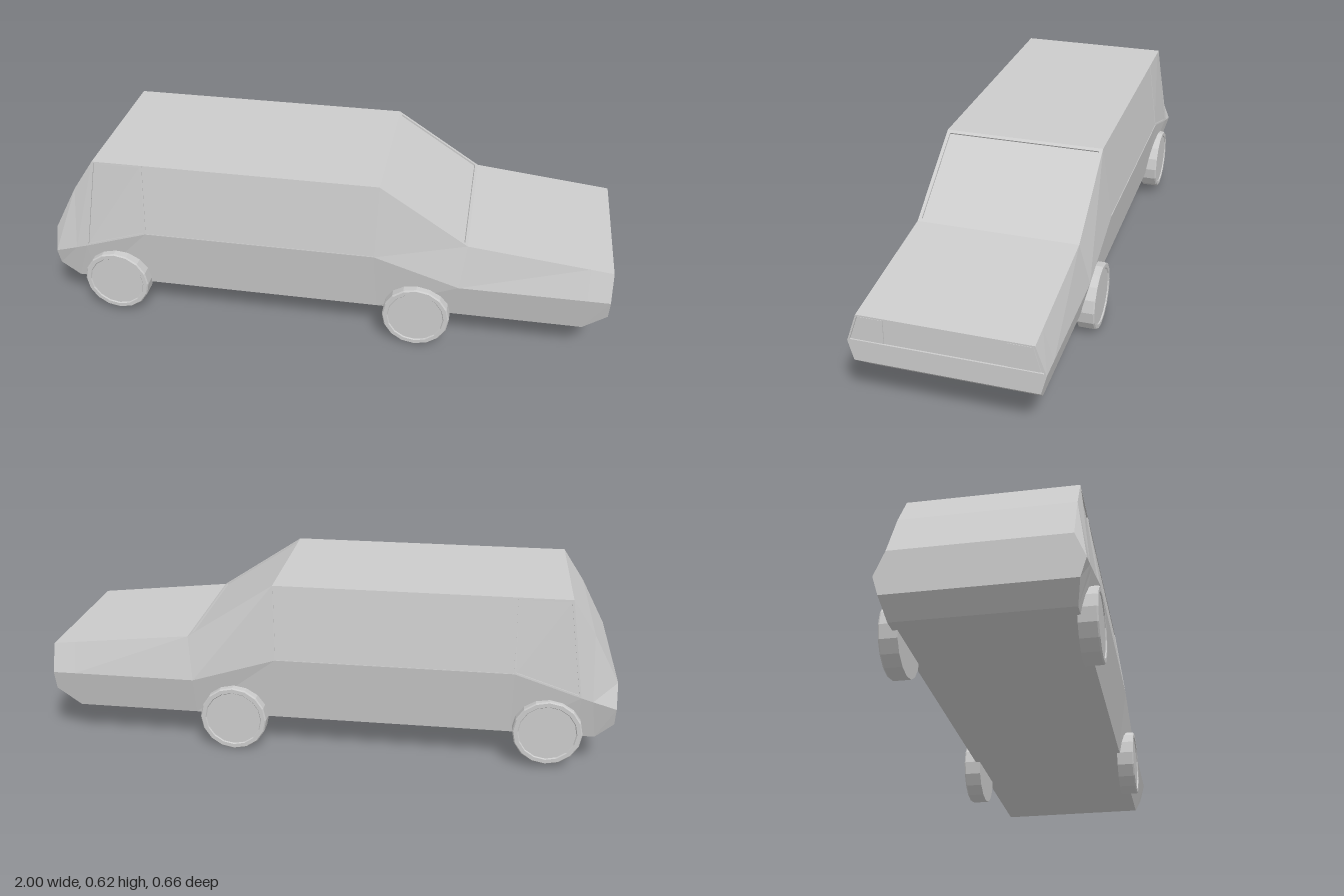
import * as THREE from 'three';

const material = new THREE.MeshStandardMaterial({ color: 0xcccccc, flatShading: true });
const V = (x, y, z) => new THREE.Vector3(x, y, z);

// Collects four-cornered faces (anticlockwise from outside) into one flat-shaded mesh
class Faces {
  positions = [];
  quad(a, b, c, d) {
    for (const p of [a, b, c, a, c, d]) this.positions.push(p.x, p.y, p.z);
  }
  mesh(name) {
    const geometry = new THREE.BufferGeometry();
    geometry.setAttribute('position', new THREE.Float32BufferAttribute(this.positions, 3));
    geometry.computeVertexNormals();
    const mesh = new THREE.Mesh(geometry, material);
    mesh.name = name;
    return mesh;
  }
}

// Splits a face into a border, a shallow step and a sunken pane
function insetPanel(border, pane, corners, margin, depth) {
  const [a, b, , d] = corners;
  const inward = b.clone().sub(a).cross(d.clone().sub(a)).normalize().multiplyScalar(-depth);
  const rim = corners.map((p, i) => {
    const q = p.clone();
    for (const step of [1, 3]) {
      q.addScaledVector(corners[(i + step) % 4].clone().sub(p).normalize(), margin);
    }
    return q;
  });
  const sunk = rim.map((p) => p.clone().add(inward));
  for (let i = 0; i < 4; i++) {
    const j = (i + 1) % 4;
    border.quad(corners[i], corners[j], rim[j], rim[i]);
    border.quad(rim[i], rim[j], sunk[j], sunk[i]);
  }
  pane.quad(...sunk);
}

// Body sections from tail to nose: [x, y, half width] of the sill, the belt line and the top
const sections = [
  [[-1, 0.18, 0.298], [-1, 0.245, 0.318], [-1, 0.33, 0.283]],
  [[-0.94, 0.12, 0.283], [-0.92, 0.268, 0.318], [-0.91, 0.5, 0.283]],
  [[-0.87, 0.12, 0.283], [-0.88, 0.28, 0.318], [-0.83, 0.62, 0.283]],
  [[-0.65, 0.12, 0.283], [-0.65, 0.355, 0.318], [-0.65, 0.62, 0.283]],
  [[0.19, 0.12, 0.283], [0.18, 0.355, 0.318], [0.19, 0.62, 0.283]],
  [[0.48, 0.12, 0.283], [0.48, 0.26, 0.318], [0.5, 0.415, 0.283]],
  [[0.92, 0.12, 0.283], [0.92, 0.26, 0.318], [0.92, 0.369, 0.283]],
  [[1, 0.19, 0.3], [1, 0.26, 0.318], [1, 0.36, 0.283]],
];
const point = (s, row, side) => {
  const [x, y, z] = sections[s][row];
  return V(x, y, side * z);
};

function createBody() {
  const group = new THREE.Group();
  group.name = 'body';
  const shell = new Faces(), windscreen = new Faces(), sideWindows = new Faces();
  const quarterWindows = new Faces(), grille = new Faces();

  for (let s = 0; s < sections.length - 1; s++) {
    // Flanks, with the long side window and the rear quarter window let in
    for (const side of [1, -1]) {
      for (let row = 0; row < 2; row++) {
        const c = [point(s, row, side), point(s + 1, row, side),
          point(s + 1, row + 1, side), point(s, row + 1, side)];
        if (side < 0) c.reverse();
        if (row === 1 && s === 2) insetPanel(shell, quarterWindows, c, 0.007, 0.005);
        else if (row === 1 && s === 3) insetPanel(shell, sideWindows, c, 0.002, 0.002);
        else shell.quad(...c);
      }
    }
    // Roof, windscreen, bonnet and tailgate
    const upper = [point(s, 2, 1), point(s + 1, 2, 1), point(s + 1, 2, -1), point(s, 2, -1)];
    if (s === 4) insetPanel(shell, windscreen, upper, 0.012, 0.006);
    else shell.quad(...upper);
    // Underside
    shell.quad(point(s, 0, -1), point(s + 1, 0, -1), point(s + 1, 0, 1), point(s, 0, 1));
  }

  // Tail and nose ends
  const nose = sections.length - 1;
  for (let row = 0; row < 2; row++) {
    shell.quad(point(0, row, -1), point(0, row, 1), point(0, row + 1, 1), point(0, row + 1, -1));
    const end = [point(nose, row, 1), point(nose, row, -1),
      point(nose, row + 1, -1), point(nose, row + 1, 1)];
    if (row === 1) insetPanel(shell, grille, end, 0.006, 0.006);
    else shell.quad(...end);
  }

  group.add(shell.mesh('bodyShell'), windscreen.mesh('windscreen'), sideWindows.mesh('sideWindows'),
    quarterWindows.mesh('rearQuarterWindows'), grille.mesh('grille'));

  // Headlights, slanted along the outer edge
  for (const side of [1, -1]) {
    const outline = [[0.197, 0.268], [0.3, 0.268], [0.276, 0.352], [0.197, 0.352]];
    const shape = new THREE.Shape(outline.map(([z, y]) => new THREE.Vector2(-side * z, y)));
    const geometry = new THREE.ExtrudeGeometry(shape, { depth: 0.004, bevelEnabled: false });
    const light = new THREE.Mesh(geometry.rotateY(Math.PI / 2), material);
    light.position.x = 0.994;
    light.name = side > 0 ? 'headlightPositiveZ' : 'headlightNegativeZ';
    group.add(light);
  }
  group.position.z = -0.003;
  return group;
}

// Wheel with a slightly sunken hub disc, axis along z
function createWheel(name, x, y, side) {
  const profile = [[0, 0], [0.12, 0], [0.12, 0.057], [0.116, 0.062],
    [0.102, 0.062], [0.099, 0.058], [0, 0.058]];
  const geometry = new THREE.LatheGeometry(profile.map(([r, h]) => new THREE.Vector2(r, h)), 16);
  const wheel = new THREE.Mesh(geometry.rotateX(side * Math.PI / 2), material);
  wheel.position.set(x, y, side * 0.27);
  wheel.name = name;
  return wheel;
}

export function createModel() {
  const model = new THREE.Group();
  model.name = 'car';
  model.add(createBody());
  for (const side of [1, -1]) {
    const suffix = side > 0 ? 'PositiveZ' : 'NegativeZ';
    model.add(createWheel('frontWheel' + suffix, 0.335, 0.122, side));
    model.add(createWheel('rearWheel' + suffix, -0.775, 0.143, side));
  }
  return model;
}
